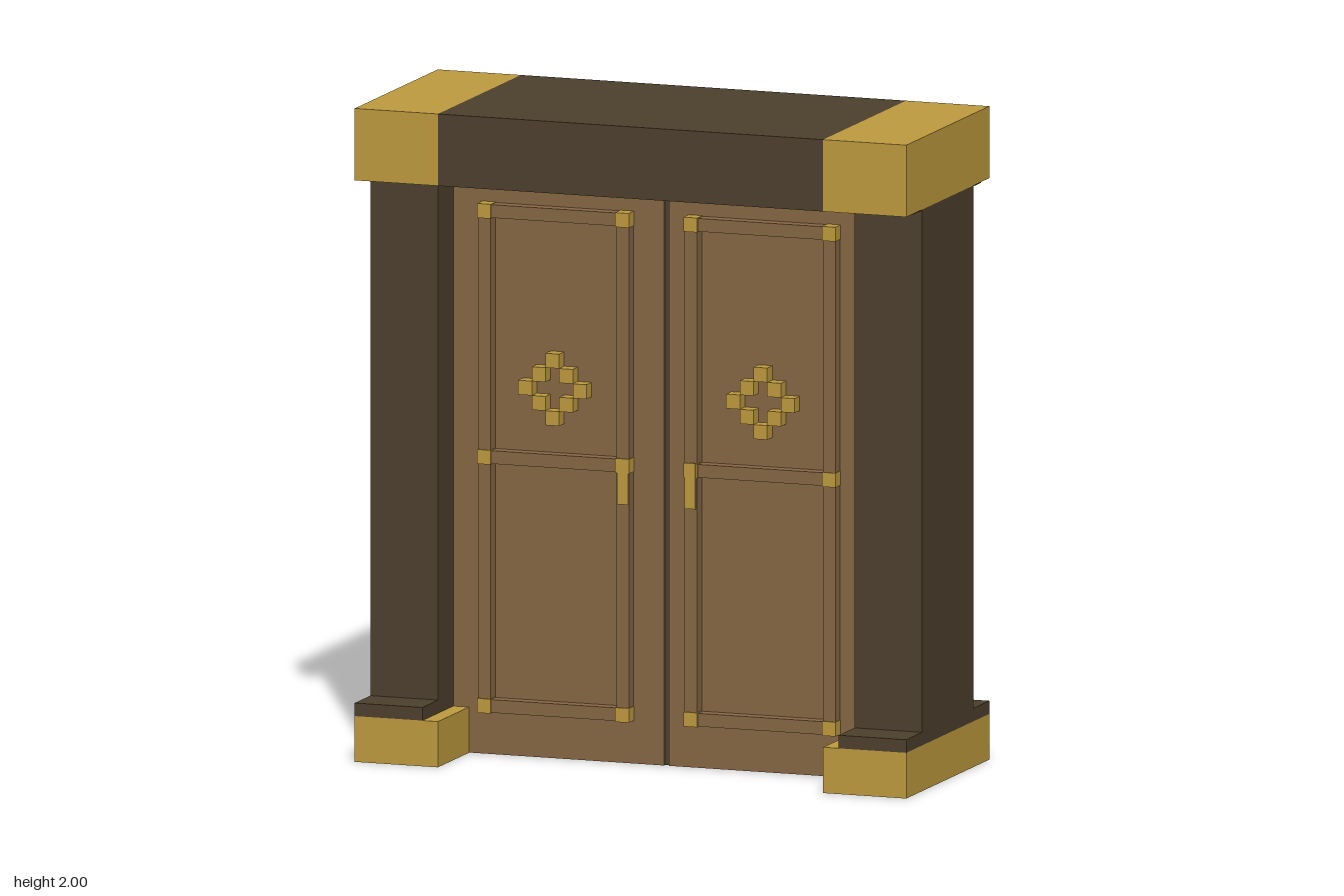
import * as THREE from 'three';

const gold = new THREE.MeshStandardMaterial({ name: 'gold', color: 0xc09c40 });
const darkWood = new THREE.MeshStandardMaterial({ name: 'darkWood', color: 0x4d402d });
const doorWood = new THREE.MeshStandardMaterial({ name: 'doorWood', color: 0x886845 });

// Box given by its limits on each axis
function box(parent, name, material, [x0, x1], [y0, y1], [z0, z1]) {
  const mesh = new THREE.Mesh(new THREE.BoxGeometry(x1 - x0, y1 - y0, z1 - z0), material);
  mesh.position.set((x0 + x1) / 2, (y0 + y1) / 2, (z0 + z1) / 2);
  mesh.name = name;
  parent.add(mesh);
  return mesh;
}

const DEPTH = 0.355; // half depth of lintel and feet
const FACE = 0.09; // half thickness of the doors
const sym = (z) => [-z, z];
// Order a range after mirroring it in x
const span = (s, a, b) => (s > 0 ? [a, b] : [-b, -a]);

// Raised panel mouldings and fittings on one face of one door leaf
function doorTrim(s) {
  const group = new THREE.Group();
  group.name = 'doorTrim';
  const w = 0.04;
  const [xi, xo] = [0.09, 0.575];
  const rails = [0.135, 0.897, 1.65];
  const zWood = [FACE - 0.01, FACE + 0.04];
  const zGold = [FACE - 0.01, FACE + 0.045];

  for (const x of [xi, xo - w]) {
    box(group, 'stile', doorWood, span(s, x, x + w), [rails[0], rails[2] + w], zWood);
    for (const y of rails) {
      box(group, 'cornerFitting', gold, span(s, x - 0.002, x + w + 0.002), [y - 0.002, y + w + 0.002], zGold);
    }
  }
  for (const y of rails) {
    box(group, 'rail', doorWood, span(s, xi + w, xo - w), [y, y + w], zWood);
  }
  box(group, 'handle', gold, span(s, xi + 0.001, xi + 0.036), [0.8, 0.94], [FACE - 0.01, FACE + 0.046]);

  // Diamond ring of eight cubes
  const c = 0.044;
  for (let i = -2; i <= 2; i++) {
    for (let j = -2; j <= 2; j++) {
      if (Math.abs(i) + Math.abs(j) !== 2) continue;
      const x = s * 0.335 + i * c, y = 1.137 + j * c;
      box(group, 'diamondCube', gold, [x - c / 2, x + c / 2], [y - c / 2, y + c / 2], [FACE - 0.01, FACE + 0.044]);
    }
  }
  return group;
}

export function createModel() {
  const model = new THREE.Group();
  model.name = 'doorway';

  // Lintel with gilded ends
  box(model, 'lintel', darkWood, sym(0.62), [1.78, 2], sym(DEPTH));

  for (const s of [-1, 1]) {
    box(model, 'lintelEnd', gold, span(s, 0.62, 0.888), [1.78, 2], sym(DEPTH));
    box(model, 'pillarHead', darkWood, span(s, 0.67, 0.885), [1.776, 1.782], sym(0.29));
    box(model, 'pillar', darkWood, span(s, 0.67, 0.888), [0.18, 1.78], sym(0.22));
    box(model, 'pillarPlinth', darkWood, span(s, 0.67, 0.888), [0.14, 0.18], sym(DEPTH));
    box(model, 'pillarFoot', gold, span(s, 0.62, 0.888), [0, 0.14], sym(DEPTH));
  }

  // Door leaves with a dark seam between them
  box(model, 'leftDoor', doorWood, [0.024, 0.67], [0.001, 1.78], sym(FACE));
  box(model, 'rightDoor', doorWood, [-0.67, 0.008], [0.001, 1.78], sym(FACE));
  box(model, 'doorSeam', darkWood, [0.008, 0.024], [0.001, 1.78], sym(FACE - 0.01));

  // The same trim on the front and back faces
  for (const z of [1, -1]) {
    const face = new THREE.Group();
    face.name = z > 0 ? 'frontTrim' : 'backTrim';
    for (const s of [-1, 1]) face.add(doorTrim(s));
    if (z < 0) face.rotation.y = Math.PI;
    model.add(face);
  }
  return model;
}
